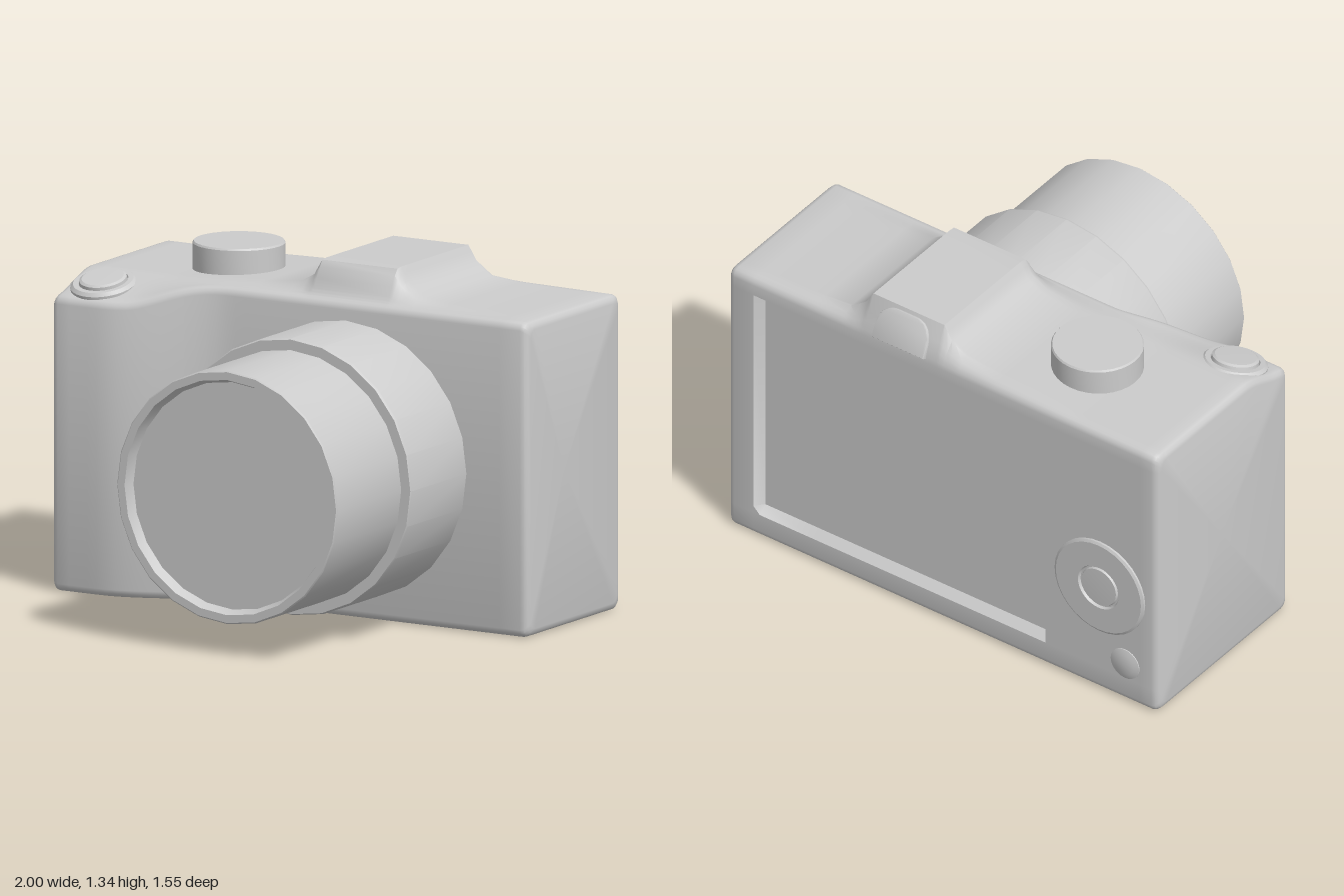
import * as THREE from 'three';
import { toCreasedNormals } from 'three/addons/utils/BufferGeometryUtils.js';

const { smoothstep, lerp, clamp } = THREE.MathUtils;
const BACK = -0.76, R = 0.03;
const material = new THREE.MeshStandardMaterial({ color: 0xcccccc });

function part(name, geometry, crease = 0.65) {
  const mesh = new THREE.Mesh(toCreasedNormals(geometry, crease), material);
  mesh.name = name;
  return mesh;
}

// Turned part; its axis is y, profile runs from the base to the top centre
function turned(name, profile, segments = 32) {
  const points = profile.map(([r, y]) => new THREE.Vector2(r, y));
  return part(name, new THREE.LatheGeometry(points, segments), 0.5);
}

// Front face: the hand grip swells forward on the model's right
const frontZ = x => lerp(0.07, -0.08, smoothstep(x, -0.8, -0.3));

// Viewfinder hump: height across the width
const HUMP = [[-1, 0], [-0.6, 0], [-0.22, 0.015], [-0.07, 0.03], [0, 0.07], [0.035, 0.13],
  [0.365, 0.13], [0.4, 0.075], [0.47, 0.025], [0.6, 0.012], [1, 0]];
function humpAt(x) {
  const k = Math.max(1, HUMP.findIndex(p => p[0] >= x));
  const [a, b] = [HUMP[k - 1], HUMP[k]];
  return lerp(a[1], b[1], (x - a[0]) / (b[0] - a[0]));
}

// Top surface: hump in the middle, dip towards the front of the grip
function topY(x, z) {
  const ramp = clamp((z - BACK) / 0.06, 0, 1) * (1 - smoothstep(z, -0.2, -0.1));
  const dip = 0.075 * smoothstep(z, -0.2, 0.07) * (1 - smoothstep(x, -0.7, -0.35));
  return 1.205 + humpAt(x) * ramp - dip;
}

// One closed side section of the body, as [z, y] from bottom front round the back
function section(x, inset, screen) {
  const f = frontZ(x) - inset, b = BACK + inset, y0 = inset;
  const top = z => topY(x, z) - inset;
  const arc = [0, 1, 2, 3].map(i => i * Math.PI / 6);
  const pts = [];
  for (const a of arc) pts.push([f - R * (1 - Math.cos(a)), y0 + R * (1 - Math.sin(a))]);
  for (const a of arc) pts.push([b + R * (1 - Math.sin(a)), y0 + R * (1 - Math.cos(a))]);
  // Recessed screen
  const s = screen ? b + 0.035 : b;
  pts.push([b, 0.105], [s, 0.135], [s, 1.125], [b, 1.13]);
  for (const a of arc) {
    const z = b + R * (1 - Math.cos(a));
    pts.push([z, top(z) - R * (1 - Math.sin(a))]);
  }
  for (const z of [-0.7, -0.69, -0.6, -0.45, -0.3, -0.22, -0.19, -0.17, -0.15, -0.13]) pts.push([z, top(z)]);
  for (let i = 1; i < 5; i++) {
    const z = lerp(-0.13, f - R, i / 5);
    pts.push([z, top(z)]);
  }
  for (const a of arc) {
    const z = f - R * (1 - Math.sin(a));
    pts.push([z, top(z) - R * (1 - Math.cos(a))]);
  }
  return pts;
}

function bodyGeometry() {
  // Columns across the width: [x, edge inset, inside the screen]
  const columns = [[-0.48, 0, false], [-0.478, 0, true], [0.85, 0, true], [0.88, 0, false]];
  for (let i = 0; i < 4; i++) {
    const a = i * Math.PI / 6;
    for (const side of [-1, 1]) columns.push([side * (1 - R * (1 - Math.cos(a))), R * (1 - Math.sin(a)), false]);
  }
  for (let x = -0.92; x < -0.2; x += 0.04) columns.push([x, 0, x > -0.478]);
  for (const [x] of HUMP.slice(2, -1)) columns.push([x, 0, true]);
  columns.push([-0.02, 0, true], [0.02, 0, true], [0.38, 0, true], [0.43, 0, true]);
  columns.sort((a, b) => a[0] - b[0]);

  const position = [], index = [];
  const rings = columns.map(c => section(...c));
  const n = rings[0].length, last = rings.length - 1;
  rings.forEach((ring, i) => ring.forEach(([z, y]) => position.push(columns[i][0], y, z)));
  for (let i = 0; i < last; i++) {
    for (let j = 0; j < n; j++) {
      const k = (j + 1) % n;
      const a = i * n + j, b = i * n + k, c = b + n, d = a + n;
      index.push(a, b, c, a, c, d);
    }
  }
  // End faces
  const centre = position.length / 3;
  position.push(-1, 0.6, -0.35, 1, 0.6, -0.35);
  for (let j = 0; j < n; j++) {
    const k = (j + 1) % n;
    index.push(centre, k, j, centre + 1, last * n + j, last * n + k);
  }
  const geometry = new THREE.BufferGeometry();
  geometry.setAttribute('position', new THREE.Float32BufferAttribute(position, 3));
  geometry.setIndex(index);
  return geometry;
}

export function createModel() {
  const model = new THREE.Group();
  model.name = 'camera';
  model.add(part('body', bodyGeometry()));

  // Two-stage lens with a sunken front glass
  const lens = turned('lens', [[0.53, -0.1], [0.53, 0.305], [0.525, 0.315], [0.485, 0.315], [0.485, 0.77],
    [0.48, 0.775], [0.45, 0.775], [0.435, 0.735], [0, 0.735]], 24);
  lens.position.set(0.205, 0.605, 0);
  lens.rotation.x = Math.PI / 2;
  model.add(lens);

  // Mode dial
  const dial = turned('modeDial', [[0.175, 0], [0.175, 0.115], [0.17, 0.122], [0, 0.122]]);
  dial.position.set(-0.475, 1.19, -0.425);
  model.add(dial);

  // Shutter button, tilted with the grip
  const shutter = turned('shutterButton', [[0.127, -0.02], [0.127, 0.02], [0.115, 0.032], [0.095, 0.032],
    [0.092, 0.024], [0.09, 0.042], [0.08, 0.048], [0, 0.05]]);
  shutter.position.set(-0.85, 1.15, -0.07);
  shutter.rotation.x = 0.25;
  model.add(shutter);

  // Rear controls
  const pad = turned('controlPad', [[0.208, -0.01], [0.208, 0.008], [0.198, 0.014], [0.095, 0.014],
    [0.09, 0.004], [0.084, 0.004], [0.08, 0.012], [0, 0.015]]);
  pad.position.set(-0.735, 0.49, BACK);
  const button = turned('rearButton', [[0.068, -0.01], [0.066, 0.003], [0.045, 0.01], [0, 0.013]], 24);
  button.position.set(-0.85, 0.175, BACK);
  for (const control of [pad, button]) {
    control.rotation.x = -Math.PI / 2;
    model.add(control);
  }

  // Eyepiece on the sloping back of the hump
  const arch = new THREE.Shape();
  arch.moveTo(-0.12, -0.07);
  arch.lineTo(0.12, -0.07);
  arch.lineTo(0.12, -0.01);
  arch.quadraticCurveTo(0.11, 0.07, 0.04, 0.07);
  arch.lineTo(-0.04, 0.07);
  arch.quadraticCurveTo(-0.11, 0.07, -0.12, -0.01);
  const eyepiece = part('eyepiece', new THREE.ExtrudeGeometry(arch, {
    depth: 0.03, bevelSize: 0.005, bevelThickness: 0.005, bevelOffset: -0.005, bevelSegments: 2, curveSegments: 8,
  }).translate(0, 0, -0.015));
  eyepiece.position.set(0.2, 1.255, -0.73);
  eyepiece.rotation.x = 0.45;
  model.add(eyepiece);

  return model;
}
